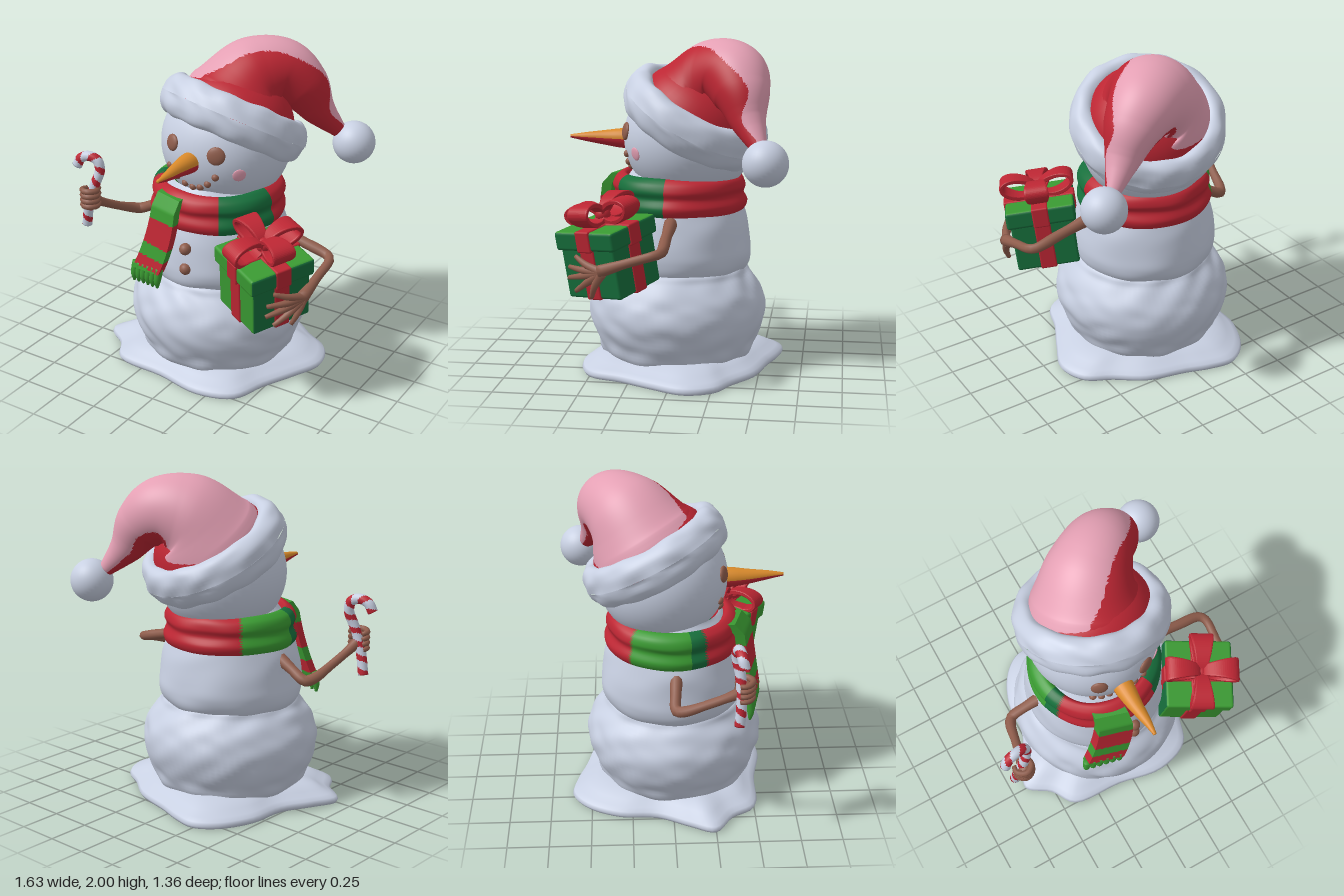
import * as THREE from 'three';
import { mergeVertices } from 'three/addons/utils/BufferGeometryUtils.js';
import { RoundedBoxGeometry } from 'three/addons/geometries/RoundedBoxGeometry.js';

const mat = (name, hex) => {
  const m = new THREE.MeshStandardMaterial({ color: hex });
  m.name = name;
  return m;
};
const V = (a) => new THREE.Vector3(...a);

export function createModel() {
  const snow = mat('snow', 0xc8d0e2), red = mat('red', 0xbc2633), pink = mat('pink', 0xe4a0b4);
  const green = mat('green', 0x3a9a32), dark = mat('darkGreen', 0x176f3c);
  const brown = mat('brown', 0x8f5d4c), orange = mat('orange', 0xd98a2b);
  const model = new THREE.Group();

  const add = (name, geo, material, pos = [0, 0, 0], parent = model) => {
    const m = new THREE.Mesh(geo, material);
    m.name = name;
    m.position.set(...pos);
    parent.add(m);
    return m;
  };

  // Skin a stack of closed rings and cap both ends
  const skin = (rings) => {
    const n = rings[0].length, last = rings.length - 1, idx = [];
    const mid = (r) => r.reduce((s, p) => s.add(p), new THREE.Vector3()).divideScalar(n);
    const pts = [...rings.flat(), mid(rings[0]), mid(rings[last])], c = n * rings.length;
    for (let i = 0; i < last; i++) for (let j = 0; j < n; j++) {
      const k = (j + 1) % n, a = i * n + j, b = i * n + k;
      idx.push(a, b, b + n, a, b + n, a + n);
    }
    for (let j = 0; j < n; j++) {
      const k = (j + 1) % n;
      idx.push(c, k, j, c + 1, last * n + j, last * n + k);
    }
    const g = new THREE.BufferGeometry().setFromPoints(pts);
    g.setIndex(idx);
    g.computeVertexNormals();
    return g;
  };

  // Round tube along a curve, with radii spread evenly over its length
  const sweep = (points, radii, steps = 16, sides = 10) => {
    const curve = new THREE.CatmullRomCurve3(points.map(V)), f = curve.computeFrenetFrames(steps);
    const rings = [];
    for (let i = 0; i <= steps; i++) {
      const s = (i / steps) * (radii.length - 1), k = Math.min(Math.floor(s), radii.length - 2);
      const r = THREE.MathUtils.lerp(radii[k], radii[k + 1], s - k), p = curve.getPointAt(i / steps);
      rings.push(Array.from({ length: sides }, (_, j) => {
        const a = (j / sides) * Math.PI * 2;
        return p.clone().addScaledVector(f.normals[i], r * Math.cos(a)).addScaledVector(f.binormals[i], r * Math.sin(a));
      }));
    }
    return skin(rings);
  };

  // Smooth lathe with lumps pushed along the normals
  const lathe = (profile, lump = 0, freq = 14, closed = false) => {
    const pts = profile.map(([x, y]) => new THREE.Vector2(x, y));
    if (closed) pts.push(pts[0].clone());
    let g = new THREE.LatheGeometry(new THREE.SplineCurve(pts).getPoints(50), 90);
    g.deleteAttribute('uv');
    const p = g.attributes.position, nn = g.attributes.normal;
    for (let i = 0; i < p.count; i++) {
      const x = p.getX(i), y = p.getY(i), z = p.getZ(i);
      const d = lump * (Math.sin(x * freq + 2 * Math.sin(y * freq)) * Math.sin(z * freq + 1.3) + 0.6 * Math.sin(y * freq * 1.7 + x * freq * 1.3));
      p.setXYZ(i, x + nn.getX(i) * d, y + nn.getY(i) * d, z + nn.getZ(i) * d);
    }
    g.deleteAttribute('normal');
    g = mergeVertices(g, 1e-5);
    g.computeVertexNormals();
    return g;
  };

  // Sort triangles into colour groups: pick(centroid, normal, triangle) gives a material index
  const paint = (g, count, pick) => {
    const ix = g.index.array, p = g.attributes.position, sets = Array.from({ length: count }, () => []);
    const tri = new THREE.Triangle(), c = new THREE.Vector3(), n = new THREE.Vector3();
    for (let t = 0; t < ix.length; t += 3) {
      tri.setFromAttributeAndIndices(p, ix[t], ix[t + 1], ix[t + 2]);
      sets[pick(tri.getMidpoint(c), tri.getNormal(n), t / 3)].push(ix[t], ix[t + 1], ix[t + 2]);
    }
    g.setIndex(sets.flat());
    g.clearGroups();
    let start = 0;
    sets.forEach((s, i) => { g.addGroup(start, s.length, i); start += s.length; });
    return g;
  };

  // Melted snow base
  const outline = new THREE.CatmullRomCurve3([
    [0.2, 0.58], [0.42, 0.5], [0.5, 0.3], [0.6, 0.1], [0.68, -0.1], [0.62, -0.27], [0.47, -0.36], [0.3, -0.48],
    [0.05, -0.55], [-0.1, -0.6], [-0.25, -0.62], [-0.38, -0.53], [-0.48, -0.33], [-0.5, -0.1], [-0.6, 0.1],
    [-0.66, 0.25], [-0.52, 0.36], [-0.42, 0.5], [-0.1, 0.53]].map(([x, z]) => V([x, 0, z])), true).getPoints(95).slice(0, 95);
  add('snowBase', skin([[0.985, 0], [1, 0.018], [0.985, 0.04], [0.93, 0.055], [0.85, 0.08], [0.76, 0.11], [0.6, 0.13]]
    .map(([s, y]) => outline.map((p) => V([p.x * s, y, p.z * s])))), snow);

  // Body and head
  add('lowerBody', lathe([[0.001, 0.05], [0.4, 0.06], [0.495, 0.19], [0.54, 0.35], [0.51, 0.48], [0.44, 0.58], [0.36, 0.64], [0.001, 0.645]], 0.005, 21), snow, [0.01, 0, 0.02]);
  add('torso', lathe([[0.36, 0.56], [0.42, 0.63], [0.44, 0.7], [0.435, 0.78], [0.415, 0.9], [0.385, 1.0], [0.35, 1.1], [0.28, 1.2]], 0.003), snow, [0, 0, 0.01]);
  const hc = [0.02, 1.4, -0.05], hr = [0.392, 0.38, 0.39];
  add('head', new THREE.SphereGeometry(1, 48, 32), snow, hc).scale.set(...hr);

  // Face details sit flat on the head
  const onHead = (name, x, y, r, depth, material) => {
    const u = (x - hc[0]) / hr[0], v = (y - hc[1]) / hr[1], w = Math.sqrt(1 - u * u - v * v);
    const m = add(name, new THREE.SphereGeometry(r, 20, 14), material, [x, y, hc[2] + hr[2] * w]);
    m.quaternion.setFromUnitVectors(V([0, 0, 1]), V([u / hr[0], v / hr[1], w / hr[2]]).normalize());
    m.scale.z = depth / r;
  };
  onHead('rightEye', -0.13, 1.47, 0.05, 0.02, brown);
  onHead('leftEye', 0.17, 1.45, 0.054, 0.02, brown);
  onHead('cheek', 0.28, 1.33, 0.04, 0.009, pink);
  for (let i = -3; i <= 3; i++) onHead('mouthPebble', i * 0.054, 1.215 + 0.011 * i * i, 0.022, 0.02, brown);
  add('nose', paint(sweep([[0.01, 1.385, 0.28], [0.01, 1.388, 0.45], [0.02, 1.393, 0.6], [0.02, 1.395, 0.675]], [0.066, 0.058, 0.043, 0.028, 0.01], 16, 24),
    2, (c, n) => (n.y < -0.05 ? 1 : 0)), [orange, red]);
  for (const y of [0.75, 0.88]) add('button', new THREE.SphereGeometry(0.036, 18, 12), brown, [0.04, y, 0.44]);

  // Hat with a drooping tip, fur brim and pompom
  add('hat', paint(sweep([[0.03, 1.5, -0.09], [0.06, 1.63, -0.165], [0.12, 1.745, -0.25], [0.23, 1.77, -0.34], [0.34, 1.69, -0.395], [0.43, 1.55, -0.44], [0.54, 1.41, -0.51]],
    [0.37, 0.345, 0.29, 0.24, 0.2, 0.165, 0.12, 0.08, 0.045], 96, 96),
    2, (c, n) => (0.88 * c.x + c.z + 0.03 * Math.sin(c.y * 19) < 0.02 && n.y > -0.5 ? 1 : 0)), [red, pink]);
  const hatUp = new THREE.Quaternion().setFromUnitVectors(V([0, 1, 0]), V([0.19, 1, -0.53]).normalize());
  const dome = add('hatCrown', new THREE.SphereGeometry(1, 40, 20, 0, Math.PI * 2, 0, Math.PI / 2), red, [0.04, 1.53, -0.1]);
  dome.scale.set(0.37, 0.3, 0.37);
  dome.quaternion.copy(hatUp);
  const ellipse = Array.from({ length: 12 }, (_, i) => {
    const a = (i / 12) * Math.PI * 2;
    return [0.378 + 0.08 * Math.cos(a), 0.125 * Math.sin(a)];
  });
  add('hatBrim', lathe(ellipse, 0.005, 24, true), snow, [0.04, 1.53, -0.095]).quaternion.copy(hatUp);
  add('pompom', new THREE.SphereGeometry(0.13, 32, 24), snow, [0.62, 1.34, -0.55]);

  // Scarf wrap with green patches
  add('scarfWrap', paint(lathe([[0.33, 0.95], [0.39, 0.97], [0.412, 1.02], [0.388, 1.075], [0.4, 1.12], [0.378, 1.17], [0.32, 1.187], [0.29, 1.07]], 0.004, 14, true),
    3, (c) => {
      const a = THREE.MathUtils.radToDeg(Math.atan2(c.x, c.z));
      return a > 32 && a < 84 ? 2 : a > -130 && a < -62 ? (a > -75 ? 2 : 1) : 0;
    }), [red, green, dark], [0, 0, 0.01]);

  // Hanging scarf end, striped, with a fringe
  const end = new THREE.BoxGeometry(0.19, 1, 0.06, 6, 47, 2), ep = end.attributes.position;
  const place = (x, t, z) => [-0.1 - 0.1 * t * t + x * (1 + 0.2 * t), 1.17 - 0.47 * t + 0.15 * x * t, 0.42 + 0.065 * t + z + 0.3 * x - 0.05 * Math.max(0, 1 - t * 7)];
  for (let i = 0; i < ep.count; i++) ep.setXYZ(i, ...place(ep.getX(i), 0.5 - ep.getY(i), ep.getZ(i)));
  end.computeVertexNormals();
  add('scarfEnd', paint(end, 2, ({ y }) => (y > 1.03 || (y < 0.87 && y > 0.79) || y < 0.715 ? 0 : 1)), [green, red]);
  for (let i = 0; i < 6; i++) {
    const [x, y, z] = place((i - 2.5) * 0.034, 1, 0);
    add('scarfFringe', sweep([[x, y + 0.03, z], [x - 0.01, y - 0.05, z + 0.01], [x - 0.015, y - 0.1, z + 0.005]], [0.024, 0.024, 0.021, 0.008], 8), green);
  }

  // Twig arms with bent elbows
  add('rightArm', sweep([[-0.36, 0.93, 0.02], [-0.48, 0.87, 0.01], [-0.58, 0.82, 0.01], [-0.61, 0.83, 0.05], [-0.64, 0.89, 0.18], [-0.68, 0.98, 0.34], [-0.695, 1.02, 0.39]],
    [0.042, 0.032, 0.034, 0.027, 0.027, 0.036], 28), brown);
  add('leftArm', sweep([[0.38, 0.94, 0.01], [0.6, 0.89, 0.01], [0.755, 0.85, 0.015], [0.785, 0.84, 0.05], [0.785, 0.8, 0.18], [0.78, 0.74, 0.36]],
    [0.042, 0.032, 0.034, 0.027, 0.027, 0.038], 28), brown);
  add('rightPalm', new THREE.SphereGeometry(0.045, 16, 12), brown, [-0.68, 1.02, 0.395]);
  for (let i = 0; i < 4; i++) {
    const y = 0.97 + i * 0.033;
    add('rightFinger', sweep([[-0.66, y, 0.34], [-0.64, y, 0.4], [-0.69, y, 0.435], [-0.74, y - 0.005, 0.4], [-0.735, y - 0.01, 0.36]], [0.018, 0.02, 0.014], 14, 8), brown);
  }
  for (const tip of [[0.68, 0.6, 0.51], [0.655, 0.67, 0.555], [0.68, 0.8, 0.51], [0.74, 0.58, 0.41], [0.66, 0.735, 0.55]])
    add('leftFinger', sweep([[0.78, 0.735, 0.34], [tip[0] * 0.5 + 0.4, tip[1] * 0.5 + 0.365, tip[2] * 0.5 + 0.18], tip], [0.03, 0.021, 0.013], 10, 8), brown);

  // Candy cane with a spiral stripe
  const sides = 16;
  add('candyCane', paint(sweep([[-0.745, 0.81, 0.36], [-0.715, 0.95, 0.37], [-0.67, 1.09, 0.365], [-0.64, 1.19, 0.345], [-0.655, 1.25, 0.345], [-0.71, 1.272, 0.355], [-0.765, 1.25, 0.365], [-0.79, 1.2, 0.375]],
    [0.031, 0.031], 96, sides), 2, (c, n, t) => {
    const q = Math.floor(t / 2), s = Math.floor(q / sides) / 13 + (q % sides) / sides;
    return s % 1 < 0.42 ? 1 : 0;
  }), [snow, red]);

  // Gift box with lid, ribbons and bow
  const gift = new THREE.Group();
  gift.name = 'gift';
  gift.position.set(0.52, 0.775, 0.345);
  gift.rotation.set(0.1, -0.49, -0.12, 'YXZ');
  model.add(gift);
  const sidesMat = [dark, dark, green, dark, green, dark];
  add('giftBox', new RoundedBoxGeometry(0.38, 0.32, 0.38, 3, 0.015), sidesMat, [0, -0.04, 0], gift);
  add('giftLid', new RoundedBoxGeometry(0.42, 0.11, 0.42, 3, 0.018), sidesMat, [0, 0.14, 0], gift);
  for (const [w, h, y] of [[0.396, 0.332, -0.04], [0.436, 0.124, 0.14]]) {
    add('ribbon', new RoundedBoxGeometry(0.1, h, w, 2, 0.01), red, [0, y, 0], gift);
    add('ribbon', new RoundedBoxGeometry(w, h, 0.1, 2, 0.01), red, [0, y, 0], gift);
  }
  // Bow loops flare away from the knot
  const loop = new THREE.Shape().absellipse(0.115, 0, 0.115, 0.065, 0, Math.PI * 2);
  loop.holes.push(new THREE.Path().absellipse(0.12, 0, 0.095, 0.047, 0, Math.PI * 2, true));
  const loopGeo = new THREE.ExtrudeGeometry(loop, { depth: 0.08, bevelEnabled: true, bevelSize: 0.005, bevelThickness: 0.008, bevelSegments: 2, curveSegments: 28 });
  loopGeo.translate(0, 0, -0.04);
  const lp = loopGeo.attributes.position;
  for (let i = 0; i < lp.count; i++) lp.setZ(i, lp.getZ(i) * (0.6 + 4 * lp.getX(i)));
  loopGeo.computeVertexNormals();
  for (let i = 0; i < 4; i++) {
    const m = add('bowLoop', loopGeo, red, [0, 0.235, 0], gift);
    m.rotation.set(0, (i * Math.PI) / 2, i === 3 ? 0.05 : 0.3, 'YZX');
  }
  add('bowKnot', new THREE.SphereGeometry(0.045, 20, 14), red, [0, 0.245, 0], gift);

  return model;
}
